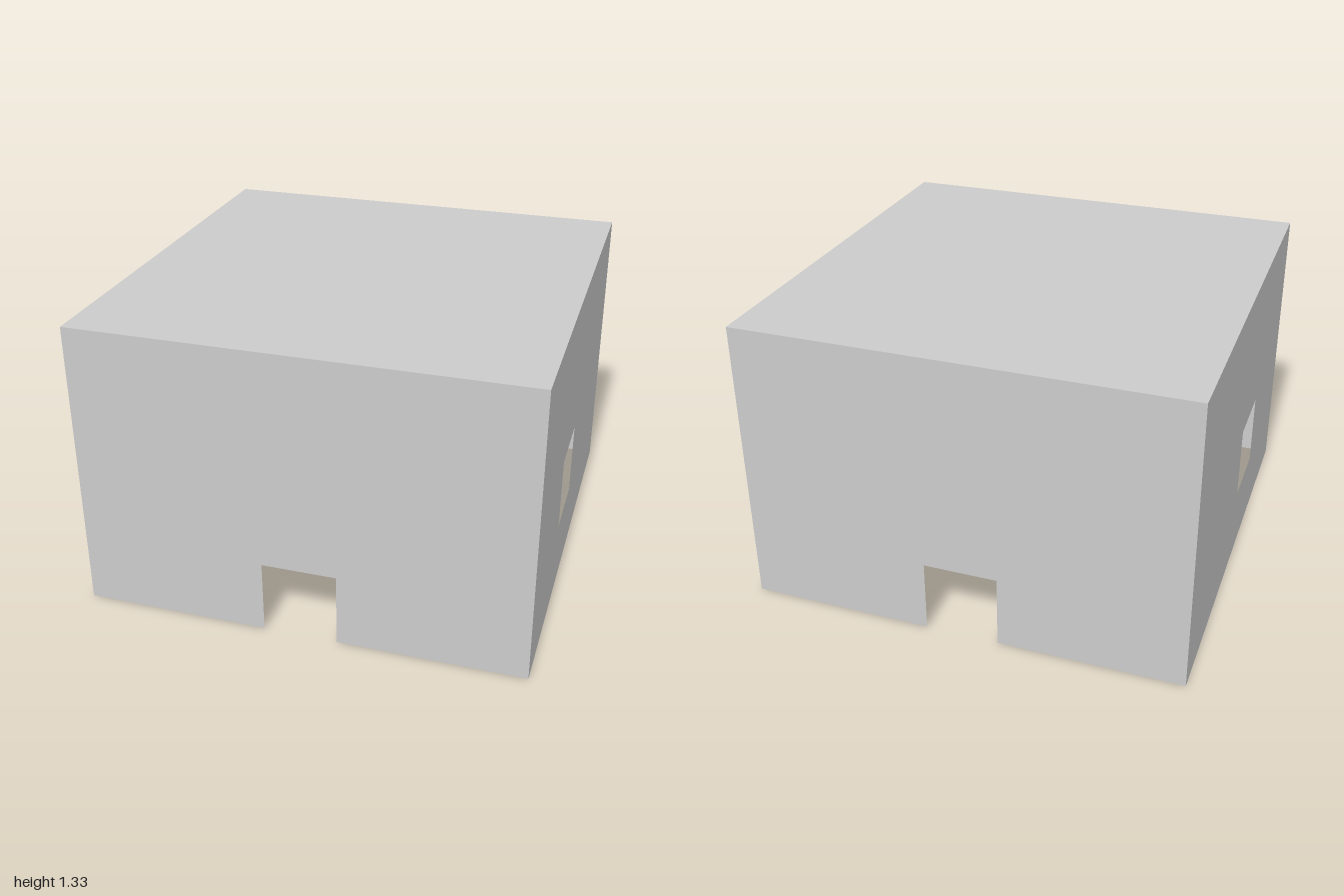
import * as THREE from 'three';

const HEIGHT = 4 / 3; // footprint is 2 x 2
const OPENING = 1 / 3; // doors and windows are square

export function createModel() {
  const house = new THREE.Group();
  house.name = 'house';
  const material = new THREE.MeshStandardMaterial({ color: 0xcccccc, side: THREE.DoubleSide });

  const addPanel = (name, geometry) => {
    const mesh = new THREE.Mesh(geometry, material);
    mesh.name = name;
    house.add(mesh);
    return mesh;
  };
  const outline = (points) => points.map(([x, y]) => new THREE.Vector2(x, y));

  // Front and back walls, each notched by a doorway at ground level
  const d = OPENING / 2;
  const doorWall = new THREE.ShapeGeometry(new THREE.Shape(outline([
    [-1, 0], [-d, 0], [-d, OPENING], [d, OPENING], [d, 0], [1, 0], [1, HEIGHT], [-1, HEIGHT],
  ])));
  addPanel('frontWall', doorWall).position.z = 1;
  const back = addPanel('backWall', doorWall);
  back.position.z = -1;
  back.rotation.y = Math.PI;

  // Side walls, each with a window just forward of the middle
  for (const side of [1, -1]) {
    const wall = new THREE.Shape(outline([[-1, 0], [1, 0], [1, HEIGHT], [-1, HEIGHT]]));
    const a = side > 0 ? -OPENING : 0; // local x runs along -z on the +x wall
    const b = a + OPENING;
    wall.holes.push(new THREE.Path(outline([
      [a, OPENING], [a, 2 * OPENING], [b, 2 * OPENING], [b, OPENING],
    ])));
    const mesh = addPanel(side > 0 ? 'leftWall' : 'rightWall', new THREE.ShapeGeometry(wall));
    mesh.position.x = side;
    mesh.rotation.y = side * Math.PI / 2;
  }

  // Flat roof; the underside of the house stays open
  const roof = addPanel('roof', new THREE.PlaneGeometry(2, 2));
  roof.rotation.x = -Math.PI / 2;
  roof.position.y = HEIGHT;

  return house;
}
